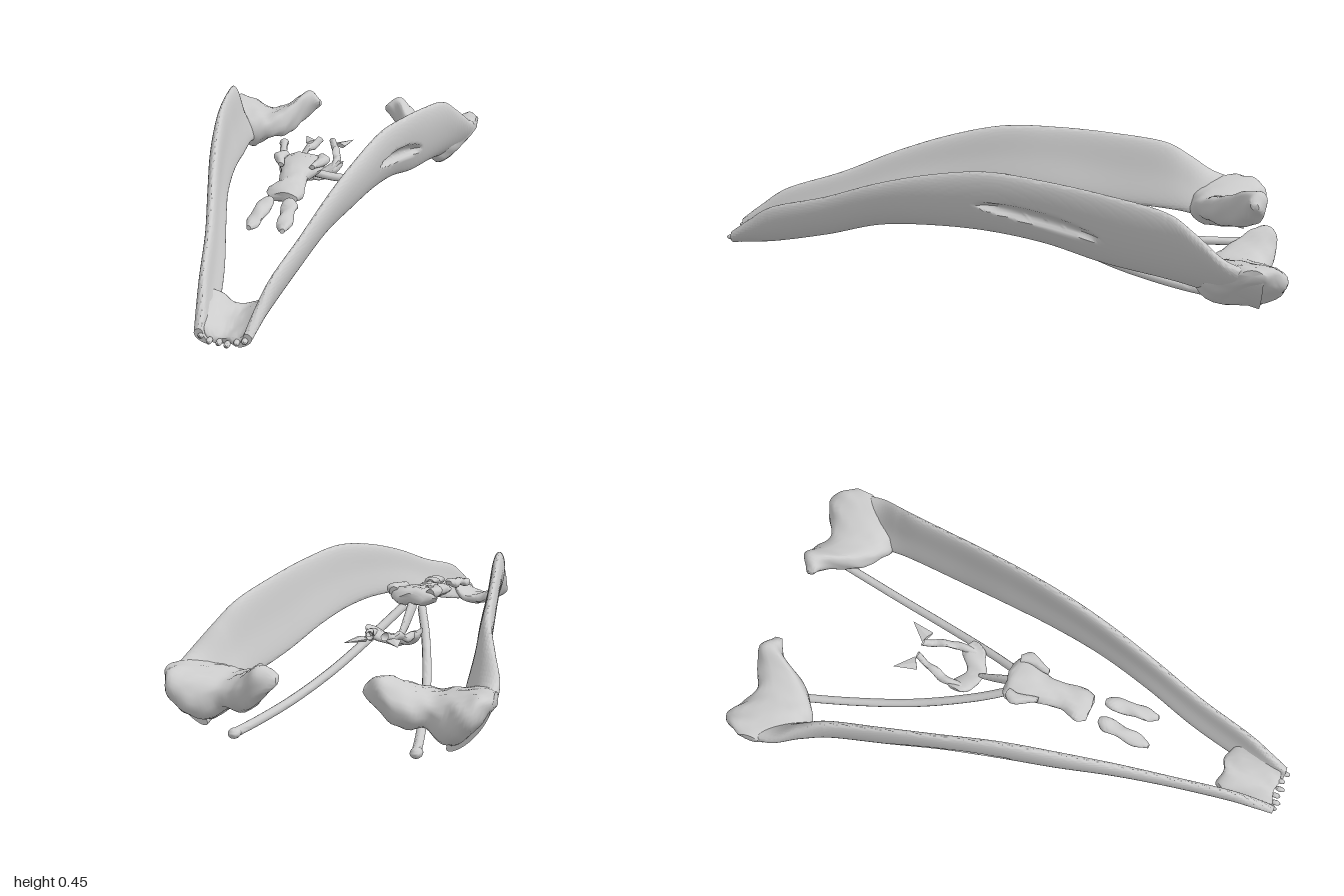
import * as THREE from 'three';
import { toCreasedNormals } from 'three/addons/utils/BufferGeometryUtils.js';

const V = (x, y, z) => new THREE.Vector3(x, y, z);
const material = new THREE.MeshStandardMaterial({ color: 0xcccccc, side: THREE.DoubleSide });

// Turn all faces outwards, whatever the order of the rings (also after mirroring)
function orient(geo) {
  const p = geo.attributes.position, index = geo.index.array;
  const at = i => V().fromBufferAttribute(p, index[i]);
  let volume = 0;
  for (let i = 0; i < index.length; i += 3) volume += at(i).dot(at(i + 1).cross(at(i + 2)));
  if (volume < 0) for (let i = 0; i < index.length; i += 3) [index[i], index[i + 1]] = [index[i + 1], index[i]];
  return geo;
}

// Closed skin over a list of rings with equal point counts
function loft(rings) {
  const n = rings[0].length, last = (rings.length - 1) * n, index = [];
  const points = rings.flat();
  for (let r = 0; r < rings.length - 1; r++)
    for (let k = 0; k < n; k++) {
      const a = r * n + k, b = r * n + (k + 1) % n;
      index.push(a, b, a + n, b, b + n, a + n);
    }
  for (const [start, flip] of [[0, true], [last, false]]) {
    const mid = V();
    for (let k = 0; k < n; k++) mid.addScaledVector(points[start + k], 1 / n);
    const c = points.push(mid) - 1;
    for (let k = 0; k < n; k++) {
      const a = start + k, b = start + (k + 1) % n;
      index.push(...(flip ? [b, a, c] : [a, b, c]));
    }
  }
  const geo = new THREE.BufferGeometry().setFromPoints(points);
  geo.setIndex(index);
  return orient(geo);
}

// Smooth interpolation of a table of rows
function sampleRows(rows, steps) {
  const out = [];
  for (let i = 0; i <= steps; i++) {
    const f = i / steps * (rows.length - 1), k = Math.min(Math.floor(f), rows.length - 2), t = f - k;
    const row = j => rows[THREE.MathUtils.clamp(j, 0, rows.length - 1)];
    out.push(rows[k].map((_, c) => {
      const [a, b, d, e] = [row(k - 1)[c], row(k)[c], row(k + 1)[c], row(k + 2)[c]];
      return b + 0.5 * t * (d - a + t * (2 * a - 5 * b + 4 * d - e + t * (3 * (b - d) + e - a)));
    }));
  }
  return out;
}

// Slight unevenness of the bone surface
function roughen(geo, amount) {
  const p = geo.attributes.position;
  for (let i = 0; i < p.count; i++) {
    const [x, y, z] = [p.getX(i), p.getY(i), p.getZ(i)];
    p.setXYZ(i, x + amount * Math.sin(70 * y + 55 * z), y + amount * Math.sin(80 * x + 60 * z),
      z + amount * Math.sin(65 * x + 75 * y));
  }
  return geo;
}

// Oval sections across x; rows are [x, zBack, zFront, yLow, yHigh]
function crossLoft(rows, steps, power = 0.8) {
  const bend = v => Math.sign(v) * Math.abs(v) ** power;
  return loft(sampleRows(rows, steps).map(([x, z0, z1, y0, y1]) =>
    Array.from({ length: 24 }, (_, k) => {
      const a = k / 24 * Math.PI * 2;
      return V(x, (y0 + y1) / 2 + (y1 - y0) / 2 * bend(Math.sin(a)), (z0 + z1) / 2 + (z1 - z0) / 2 * bend(Math.cos(a)));
    })));
}

// Oval sections along z; rows are [z, x, y, halfWidth, halfHeight]
function alongLoft(rows, steps = 24) {
  return loft(sampleRows(rows, steps).map(([z, x, y, w, h]) =>
    Array.from({ length: 14 }, (_, k) => {
      const a = k / 14 * Math.PI * 2;
      return V(x + w * Math.cos(a), y + h * Math.sin(a), z);
    })));
}

// Jaw branch: rows are [z, xLow, yLow, xHigh, yHigh, thickness]
const branchRows = [
  [0.97, 0.05, 0.072, 0.075, 0.12, 0.03], [0.9, 0.055, 0.078, 0.09, 0.172, 0.036],
  [0.8, 0.07, 0.09, 0.112, 0.235, 0.036], [0.6, 0.11, 0.137, 0.155, 0.292, 0.036],
  [0.4, 0.165, 0.2, 0.205, 0.365, 0.04], [0.2, 0.22, 0.225, 0.255, 0.42, 0.045],
  [0, 0.26, 0.225, 0.3, 0.45, 0.045], [-0.2, 0.295, 0.2, 0.345, 0.437, 0.042],
  [-0.4, 0.335, 0.152, 0.385, 0.41, 0.042], [-0.6, 0.37, 0.12, 0.425, 0.37, 0.05],
  [-0.7, 0.385, 0.1, 0.46, 0.31, 0.065], [-0.8, 0.39, 0.07, 0.5, 0.235, 0.08],
  [-0.92, 0.4, 0.035, 0.508, 0.195, 0.065],
];

// The branch is a thin leaning plate with a long sunken slot on its outer face
function jawBranch() {
  const n = 40;
  return loft(sampleRows(branchRows, 200).map(([z, xl, yl, xh, yh, t]) => {
    const s = THREE.MathUtils.clamp((0.04 - z) / 0.43, 0, 1);
    const slotHalf = 0.12 * Math.sqrt(Math.sin(Math.PI * s)) + 1e-6, slotMid = 0.47 - 0.1 * s;
    const side = sign => Array.from({ length: n + 1 }, (_, k) => {
      const v = (1 - Math.cos(Math.PI * k / n)) / 2;
      const half = t / 2 * Math.sqrt(Math.max(0, 1 - Math.abs(2 * v - 1) ** 3));
      const d = Math.min(1, Math.abs(v - slotMid) / slotHalf);
      const sunk = sign > 0 ? 0.6 * t * (1 - d * d) * Math.min(1, slotHalf / 0.08) : 0;
      return V(xl + (xh - xl) * v + sign * half - sunk + 0.012 * Math.sin(Math.PI * v), yl + (yh - yl) * v, z);
    });
    return [...side(1), ...side(-1).reverse().slice(1, -1)];
  }));
}

const tube = (points, radius) => {
  const path = new THREE.CatmullRomCurve3(points.map(p => V(...p)));
  const geo = new THREE.TubeGeometry(path, 40, radius, 10);
  geo.deleteAttribute('uv');
  geo.deleteAttribute('normal');
  return geo;
};

export function createModel() {
  const model = new THREE.Group();
  const add = (name, geo, crease = 0.9) => {
    const mesh = new THREE.Mesh(toCreasedNormals(geo, crease), material);
    mesh.name = name;
    model.add(mesh);
  };
  const addPair = (name, geo, crease) => {
    add(name + 'Left', geo.clone(), crease);
    add(name + 'Right', orient(geo.clone().scale(-1, 1, 1)), crease);
  };

  // Lower jaw: long branches, joint ends, and the trough that joins them in front
  addPair('jawBranch', jawBranch());
  addPair('jawJoint', roughen(crossLoft([
    [0.14, -0.95, -0.92, 0.2, 0.225], [0.2, -0.985, -0.89, 0.14, 0.255], [0.26, -0.975, -0.79, 0.09, 0.215],
    [0.33, -0.95, -0.73, 0.085, 0.19], [0.39, -0.975, -0.71, 0.045, 0.2], [0.44, -1, -0.73, 0.065, 0.21],
    [0.49, -0.995, -0.78, 0.12, 0.22], [0.53, -0.92, -0.84, 0.175, 0.215]], 42), 0.003));
  const tip = crossLoft([
    [-0.1, 0.79, 0.9, 0.125, 0.17], [-0.06, 0.75, 0.965, 0.08, 0.125], [0, 0.76, 0.96, 0.062, 0.102],
    [0.06, 0.75, 0.965, 0.08, 0.125], [0.1, 0.79, 0.9, 0.125, 0.17]], 32, 0.6);
  add('jawTip', roughen(tip.rotateX(0.12).translate(0, 0.11, -0.01), 0.003));

  // Small ragged bumps on the front rim
  for (let i = 0; i < 6; i++) {
    const x = -0.07 + i * 0.028;
    const bump = new THREE.IcosahedronGeometry(0.01, 1);
    bump.scale(1, 1, 1.8).translate(x, 0.078 + 4 * x * x, 0.964 + 0.008 * (i % 2));
    add('rimBump' + (i + 1), bump, 0.5);
  }

  // Tongue skeleton: body with raised rear wings, horns, front plates and keel
  add('tongueBody', roughen(alongLoft([
    [-0.08, 0, 0.285, 0.05, 0.018], [-0.06, 0, 0.288, 0.085, 0.03], [0, 0, 0.285, 0.08, 0.034],
    [0.06, 0, 0.278, 0.055, 0.03], [0.14, 0, 0.27, 0.05, 0.026], [0.2, 0, 0.263, 0.066, 0.028],
    [0.235, 0, 0.26, 0.05, 0.018]]), 0.004));
  addPair('rearWing', roughen(alongLoft([
    [-0.06, 0.07, 0.3, 0.018, 0.018], [-0.02, 0.078, 0.31, 0.022, 0.018], [0.05, 0.06, 0.305, 0.01, 0.008]], 12), 0.004));
  addPair('tongueHorn', tube([[0.035, 0.25, -0.05], [0.09, 0.185, -0.18], [0.165, 0.1, -0.4],
    [0.225, 0.05, -0.62], [0.27, 0.028, -0.8], [0.3, 0.02, -0.93]], 0.0155));
  const knob = new THREE.SphereGeometry(0.02, 14, 10);
  addPair('hornEnd', knob.scale(1, 0.85, 1.3).translate(0.298, 0.02, -0.92));
  addPair('tonguePlate', roughen(alongLoft([
    [0.28, 0.035, 0.27, 0.012, 0.008], [0.31, 0.045, 0.267, 0.028, 0.018], [0.37, 0.045, 0.258, 0.024, 0.016],
    [0.43, 0.053, 0.248, 0.026, 0.016], [0.475, 0.06, 0.24, 0.008, 0.008]]), 0.003));
  add('tongueKeel', alongLoft([[-0.05, 0, 0.26, 0.016, 0.03], [-0.12, 0, 0.215, 0.012, 0.03],
    [-0.2, 0, 0.17, 0.008, 0.015]]));

  // Voice box: curved floor, side arms and two loose rear flakes
  add('voiceBoxFloor', roughen(crossLoft([
    [-0.1, -0.26, -0.23, 0.205, 0.225], [-0.07, -0.29, -0.2, 0.175, 0.21], [0, -0.25, -0.18, 0.155, 0.18],
    [0.07, -0.29, -0.2, 0.175, 0.21], [0.1, -0.26, -0.23, 0.205, 0.225]], 28), 0.004));
  addPair('voiceBoxArm', roughen(tube([[0.07, 0.195, -0.23], [0.075, 0.205, -0.3], [0.05, 0.22, -0.36],
    [0.03, 0.23, -0.43]], 0.014), 0.005));
  const flake = new THREE.ConeGeometry(0.04, 0.085, 5, 1);
  flake.rotateX(-Math.PI / 2).scale(0.7, 0.25, 1).rotateY(-0.5).translate(0.075, 0.22, -0.46);
  addPair('rearFlake', flake, 0.3);
  return model;
}
